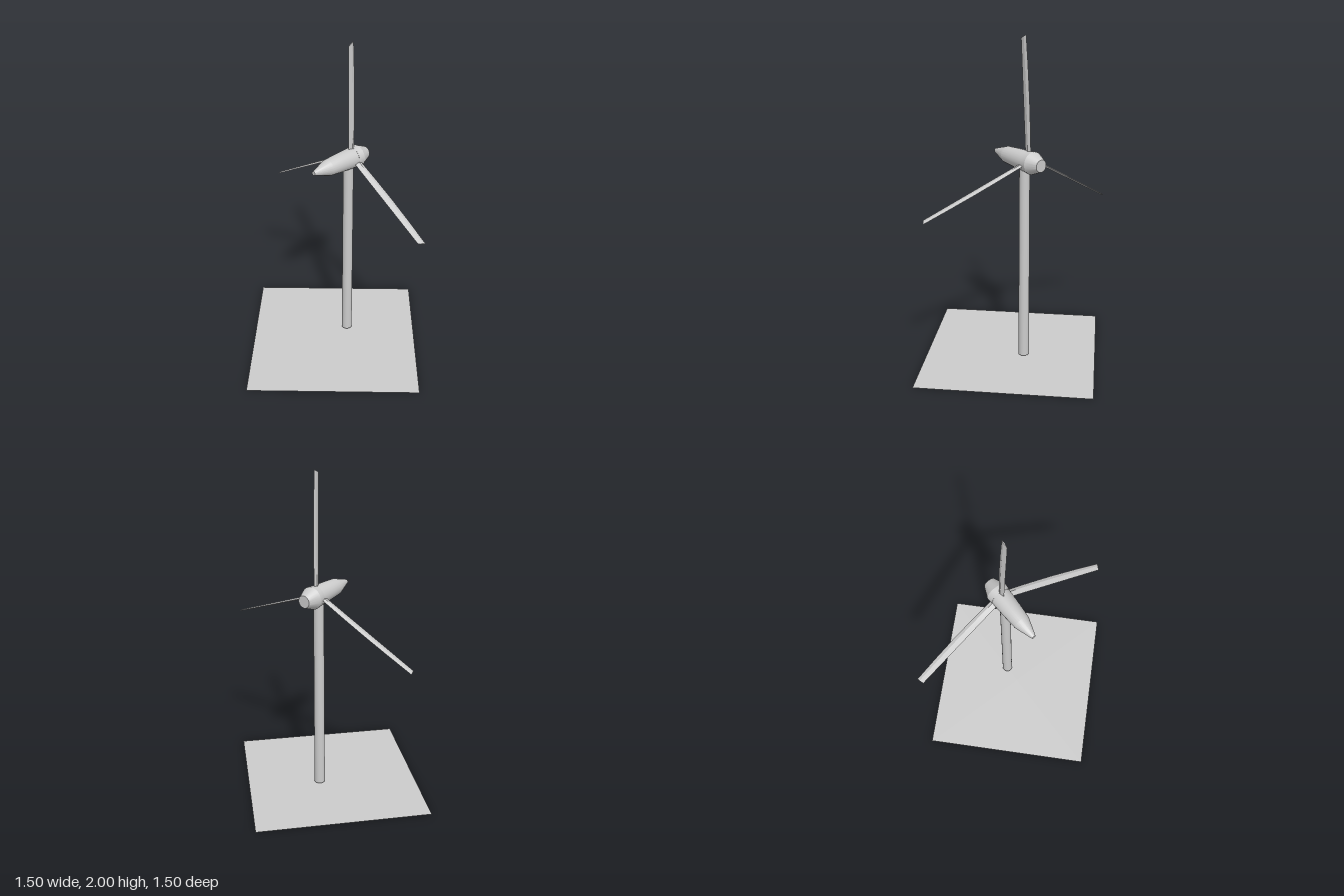
import * as THREE from 'three';
import { toCreasedNormals } from 'three/addons/utils/BufferGeometryUtils.js';

const V = (x, y, z) => new THREE.Vector3(x, y, z);
const grey = new THREE.MeshStandardMaterial({ color: 0xcccccc });
const greyThin = new THREE.MeshStandardMaterial({ color: 0xcccccc, side: THREE.DoubleSide });

function part(name, geometry, material = grey) {
  const mesh = new THREE.Mesh(geometry, material);
  mesh.name = name;
  return mesh;
}

// Turned body whose profile runs along z: pairs of [radius, z]
function turned(name, profile) {
  const points = profile.map(([r, z]) => new THREE.Vector2(r, z));
  const geometry = new THREE.LatheGeometry(points, 24);
  geometry.rotateX(Math.PI / 2);
  return part(name, toCreasedNormals(geometry, 0.3));
}

// Thin blade lofted from lens-shaped sections between two front/rear edge pairs
function blade(name, { rootFront, rootRear, tipFront, tipRear }) {
  const span = tipRear.clone().sub(rootRear).normalize();
  const positions = [], index = [];
  const stations = [0, 0.25, 0.5, 0.75, 1];
  for (const t of stations) {
    const front = rootFront.clone().lerp(tipFront, t);
    const rear = rootRear.clone().lerp(tipRear, t);
    rear.z -= 0.008 * Math.sin(Math.PI * t); // gently bowed rear edge
    const chord = front.clone().sub(rear).normalize();
    const side = span.clone().cross(chord).normalize().multiplyScalar(0.008 - 0.004 * t);
    const middle = rear.clone().lerp(front, 0.4);
    for (const p of [front, middle.clone().add(side), rear, middle.clone().sub(side)]) {
      positions.push(p.x, p.y, p.z);
    }
  }
  for (let s = 0; s < stations.length - 1; s++) {
    for (let i = 0; i < 4; i++) {
      const a = s * 4 + i, b = s * 4 + (i + 1) % 4;
      index.push(a, b, b + 4, a, b + 4, a + 4);
    }
  }
  const e = (stations.length - 1) * 4;
  index.push(0, 2, 1, 0, 3, 2, e, e + 1, e + 2, e, e + 2, e + 3);
  const geometry = new THREE.BufferGeometry();
  geometry.setAttribute('position', new THREE.Float32BufferAttribute(positions, 3));
  geometry.setIndex(index);
  return part(name, toCreasedNormals(geometry, 0.3));
}

export function createModel() {
  const model = new THREE.Group();
  model.name = 'windTurbine';

  // Square ground sheet turned to a diamond
  const ground = new THREE.CircleGeometry(0.748, 4);
  ground.rotateX(-Math.PI / 2);
  model.add(part('groundSheet', ground, greyThin));

  // Tower
  const tower = part('tower', new THREE.CylinderGeometry(0.031, 0.033, 1.24, 24));
  tower.position.set(0, 0.64, -0.116);
  model.add(tower);

  // Nacelle and hub, tilted slightly up toward the tail
  const head = new THREE.Group();
  head.name = 'head';
  head.add(turned('nacelle', [
    [0, -0.185], [0.063, -0.185], [0.062, -0.13], [0.057, -0.04],
    [0.05, 0.05], [0.013, 0.162], [0, 0.162],
  ]));
  head.add(turned('hub', [
    [0, -0.262], [0.037, -0.262], [0.068, -0.19], [0.064, -0.15], [0, -0.15],
  ]));
  head.position.set(-0.003, 1.281, 0);
  head.rotation.x = -0.02;
  model.add(head);

  // Three blades
  const rotor = new THREE.Group();
  rotor.name = 'rotor';
  rotor.add(blade('upperBlade', {
    rootFront: V(-0.004, 1.3, -0.12), rootRear: V(-0.006, 1.3, -0.166),
    tipFront: V(0.012, 1.98, -0.095), tipRear: V(0.01, 2.0, -0.137),
  }));
  rotor.add(blade('rightBlade', {
    rootFront: V(-0.04, 1.28, -0.12), rootRear: V(-0.04, 1.283, -0.167),
    tipFront: V(-0.63, 0.952, -0.091), tipRear: V(-0.642, 0.948, -0.135),
  }));
  rotor.add(blade('leftBlade', {
    rootFront: V(0.04, 1.267, -0.122), rootRear: V(0.04, 1.27, -0.17),
    tipFront: V(0.645, 1.025, -0.02), tipRear: V(0.667, 1.018, -0.06),
  }));
  model.add(rotor);

  return model;
}
